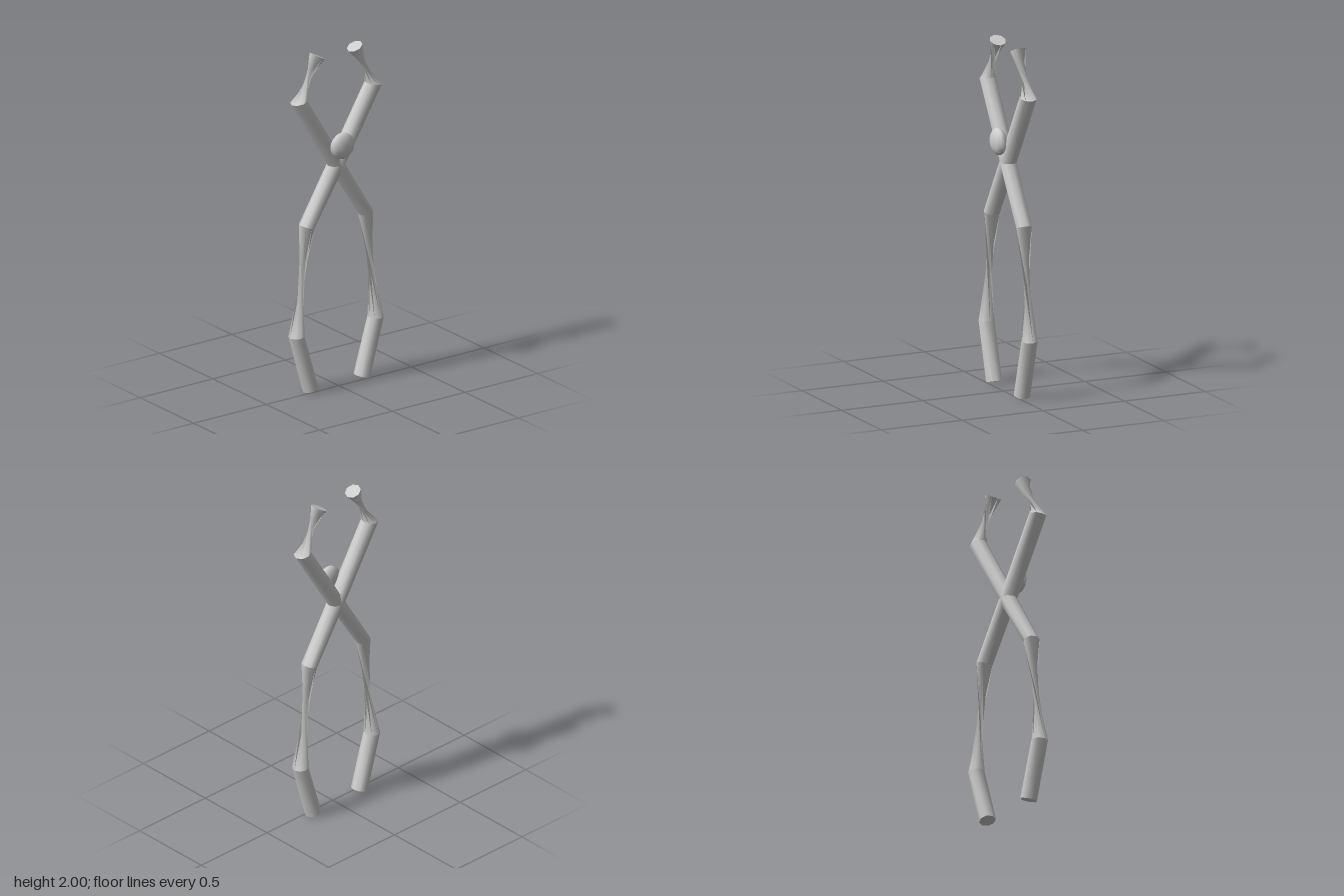
import * as THREE from 'three';

const SIDES = 8;
const DEPTH = 0.048; // half thickness of limbs along z
const MID_Z = -0.027;

// Octagonal ring spanning from its -x edge to its +x edge
function ring([ax, ay], [bx, by]) {
  return Array.from({ length: SIDES }, (_, k) => {
    const a = (k / SIDES) * Math.PI * 2, c = Math.cos(a) / 2;
    return [(ax + bx) / 2 + c * (bx - ax), (ay + by) / 2 + c * (by - ay), MID_Z + DEPTH * Math.sin(a)];
  });
}

function build(points, index) {
  const g = new THREE.BufferGeometry();
  g.setAttribute('position', new THREE.Float32BufferAttribute(points.flat(), 3));
  g.setIndex(index);
  g.computeVertexNormals();
  return g;
}

// Skin between two rings; a twist joins each corner to one further round
function skin(low, high, twist) {
  const index = [];
  for (let k = 0; k < SIDES; k++) {
    const n = (k + 1) % SIDES;
    const u = SIDES + ((k + twist) % SIDES), v = SIDES + ((k + 1 + twist) % SIDES);
    index.push(k, u, v, k, v, n);
  }
  return build([...low, ...high], index);
}

// Flat end of a limb
function cap(points, facesUp) {
  const index = [];
  for (let k = 1; k < SIDES - 1; k++) index.push(0, ...(facesUp ? [k + 1, k] : [k, k + 1]));
  return build(points, index);
}

export function createModel() {
  const model = new THREE.Group();
  const grey = new THREE.MeshStandardMaterial({ color: 0xcccccc, side: THREE.DoubleSide });
  grey.name = 'light grey';
  const add = (name, geometry) => {
    const mesh = new THREE.Mesh(geometry, grey);
    mesh.name = name;
    model.add(mesh);
    return mesh;
  };

  // Inner and outer corners of each joint on the +x side
  const joints = {
    foot: [[0.132, 0.03], [0.222, 0.004]],
    knee: [[0.228, 0.35], [0.317, 0.345]],
    hip: [[0.163, 0.97], [0.243, 0.997]],
    waist: [[-0.055, 1.31], [0.055, 1.31]],
    elbow: [[0.207, 1.745], [0.305, 1.724]],
    hand: [[0.087, 1.957], [0.169, 2.0]],
  };

  for (const [side, s] of [['left', 1], ['right', -1]]) {
    const at = (name) => {
      const [inner, outer] = joints[name].map(([x, y]) => [s * x, y]);
      return s > 0 ? ring(inner, outer) : ring(outer, inner);
    };
    // Legs
    add(side + 'Shin', skin(at('foot'), at('knee'), 0));
    add(side + 'TwistedThigh', skin(at('knee'), at('hip'), 3));
    add(side + 'Hip', skin(at('hip'), at('waist'), 0));
    add(side + 'FootEnd', cap(at('foot'), false));
    // Arms
    add(side + 'UpperArm', skin(at('waist'), at('elbow'), 0));
    add(side + 'TwistedForearm', skin(at('elbow'), at('hand'), 3));
    add(side + 'HandEnd', cap(at('hand'), true));
  }

  // Flattened head in front of the crossing
  const head = add('head', new THREE.SphereGeometry(0.077, 10, 16).rotateY(Math.PI / 2));
  head.scale.z = 0.52;
  head.position.set(0, 1.435, 0.033);
  return model;
}
